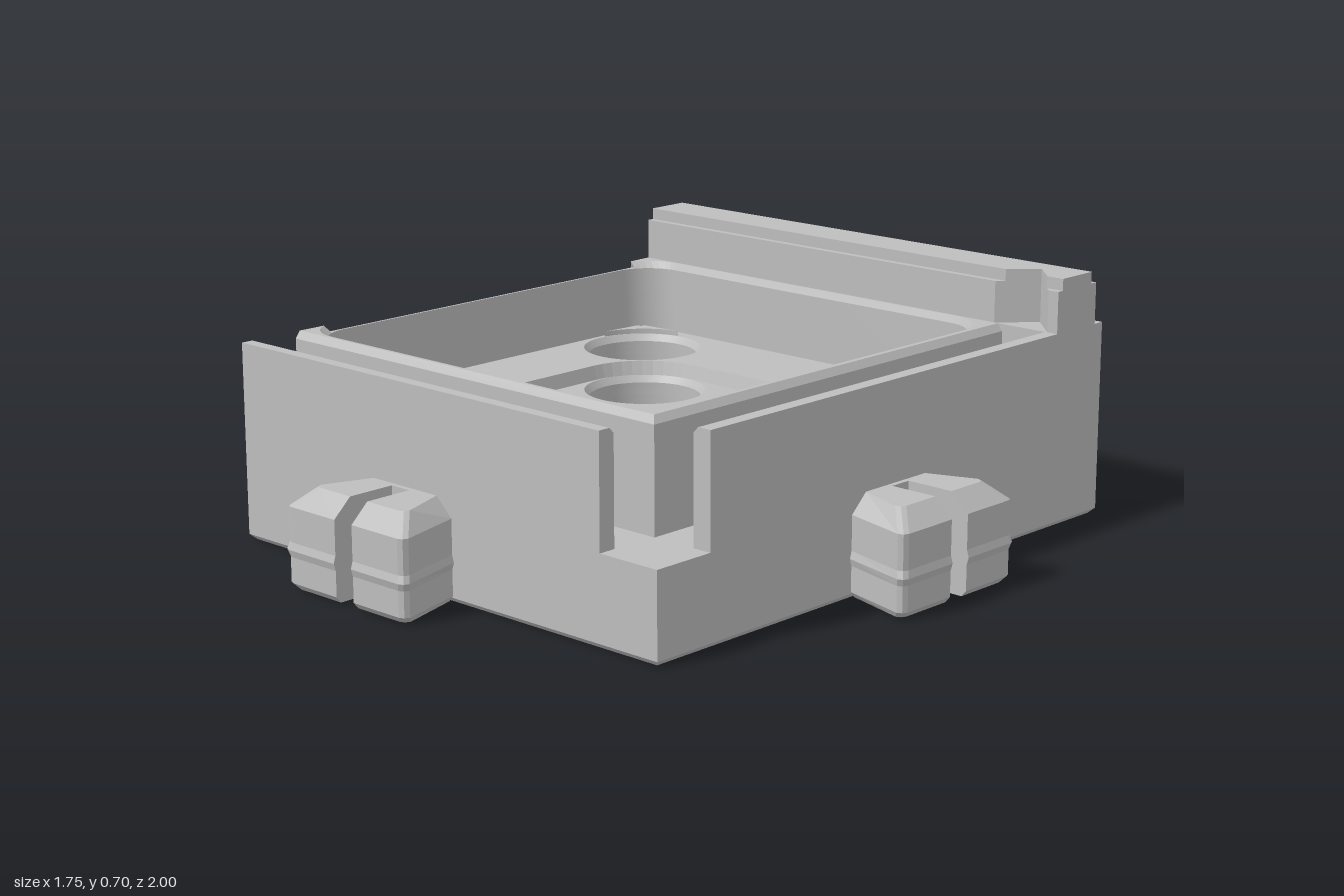
import * as THREE from 'three';
import { toCreasedNormals } from 'three/addons/utils/BufferGeometryUtils.js';

const grey = new THREE.MeshStandardMaterial({ color: 0xbebebe, side: THREE.DoubleSide });
grey.name = 'grey plastic';

const L = -0.875, R = 0.66, B = -1, F = 0.785; // body footprint
const TR = 0.475, TF = 0.6, TB = -0.79;        // tray block limits
const SOCKET_Z = -0.105;

function part(name, geometry) {
  const mesh = new THREE.Mesh(geometry, grey);
  mesh.name = name;
  return mesh;
}

// Horizontal slab: outline and holes are lists of [x, z]
function slab(name, outline, y0, y1, holes = []) {
  const toVec = (p) => new THREE.Vector2(p[0], -p[1]);
  const shape = new THREE.Shape(outline.map(toVec));
  holes.forEach((h) => shape.holes.push(new THREE.Path(h.map(toVec))));
  const g = new THREE.ExtrudeGeometry(shape, { depth: y1 - y0, bevelEnabled: false });
  g.rotateX(-Math.PI / 2).translate(0, y0, 0);
  return part(name, toCreasedNormals(g, 0.5));
}

// Skin between stacked rings { y, pts: [x, z][] }, optionally closed and capped
function loft(name, rings, solid = false) {
  const pos = [], index = [], n = rings[0].pts.length;
  rings.forEach((r) => r.pts.forEach((p) => pos.push(p[0], r.y, p[1])));
  for (let k = 0; k < rings.length - 1; k++) {
    for (let i = 0; i < (solid ? n : n - 1); i++) {
      const a = k * n + i, b = k * n + (i + 1) % n;
      index.push(a, a + n, b, b, a + n, b + n);
    }
  }
  if (solid) {
    [0, rings.length - 1].forEach((k) => {
      const flat = rings[k].pts.map((p) => new THREE.Vector2(p[0], p[1]));
      THREE.ShapeUtils.triangulateShape(flat, []).forEach(([a, b, c]) => {
        if (k) index.push(k * n + a, k * n + c, k * n + b);
        else index.push(a, b, c);
      });
    });
  }
  const g = new THREE.BufferGeometry();
  g.setAttribute('position', new THREE.Float32BufferAttribute(pos, 3));
  g.setIndex(index);
  const flatGeo = g.toNonIndexed();
  flatGeo.computeVertexNormals();
  return part(name, flatGeo);
}

const rect = (x0, x1, z0, z1) => [[x0, z0], [x1, z0], [x1, z1], [x0, z1]];
const loop = (p) => [...p, p[0]];

function circle([cx, cz], r, n = 48) {
  return Array.from({ length: n }, (_, i) => {
    const a = (i / n) * Math.PI * 2;
    return [cx + r * Math.cos(a), cz + r * Math.sin(a)];
  });
}

// Runs from the middle of the left side, round the front, right and back
function roundRect(x0, x1, z0, z1, r) {
  const pts = [], n = 10;
  [[x0 + r, z1 - r], [x1 - r, z1 - r], [x1 - r, z0 + r], [x0 + r, z0 + r]].forEach(([cx, cz], q) => {
    for (let i = 0; i <= n; i++) {
      const a = Math.PI - (q + i / n) * Math.PI / 2;
      pts.push([cx + r * Math.cos(a), cz + r * Math.sin(a)]);
    }
  });
  return pts;
}

// Dovetail socket cut in the right-hand wall of the model
const socket = (x, i = 0) => [
  [x, SOCKET_Z + 0.195 - i], [-0.655 - i, SOCKET_Z + 0.24 - i],
  [-0.655 - i, SOCKET_Z - 0.24 + i], [x, SOCKET_Z - 0.195 + i],
];
const footprint = (i = 0) => [
  [L + i, B + i], [R - i, B + i], [R - i, F - i], [L + i, F - i], ...socket(L + i),
];

// Slotted dovetail plug pointing along +z
function connector(name) {
  const outline = (i) => {
    const s0 = 0.18 - i, s1 = 0.23 - i, w = 0.215 - i, c = 0.02, g = 0.033;
    const half = [[g, 0.015], [g, w], [s1 - c, w], [s1 - c * 0.3, w - c * 0.3], [s1, w - c], [s0, 0]];
    return [...half, ...half.map(([u, v]) => [-u, v]).reverse()];
  };
  const steps = [[0.003, 0.02], [0.02, 0.006], [0.09, 0.006], [0.11, 0],
    [0.13, 0.006], [0.225, 0.006], [0.275, 0.06]];
  return loft(name, steps.map(([y, i]) => ({ y, pts: outline(i) })), true);
}

export function createModel() {
  const model = new THREE.Group();
  model.name = 'tray module';
  const corners = [], middles = [];
  for (const x of [-0.68, 0.215]) for (const z of [-0.56, 0.335]) corners.push([x, z]);
  for (const x of [-0.425, -0.035]) for (const z of [-0.305, 0.08]) middles.push([x, z]);
  const holes = (list, r) => list.map((c) => circle(c, r));
  const block = rect(L, TR, TB, TF);

  // Base with chamfered foot, then the pocket layers
  const well = roundRect(-0.615, 0.145, -0.49, 0.26, 0.2);
  const wellFoot = roundRect(-0.604, 0.134, -0.479, 0.249, 0.189);
  model.add(
    loft('base', [{ y: 0, pts: footprint(0.015) }, { y: 0.015, pts: footprint() },
      { y: 0.15, pts: footprint() }], true),
    slab('pocketLayer', footprint(), 0.15, 0.245, holes([...corners, ...middles], 0.16)),
    slab('trayUnderside', [[L, TB], [TR, TB], [TR, TF], [L, TF], ...socket(L)], 0.245, 0.28,
      holes([...corners, ...middles], 0.16)),
    slab('wellFloor', block, 0.28, 0.3, [...holes(corners, 0.16), ...holes(middles, 0.174)]),
    slab('trayFloorLower', block, 0.3, 0.32, [...holes(corners, 0.16), well]),
    slab('trayFloor', block, 0.32, 0.34, [...holes(corners, 0.174), well]),
    loft('wellSlope', [{ y: 0.3, pts: loop(wellFoot) }, { y: 0.34, pts: loop(well) }]),
  );

  // Tray wall with chamfered rim; the rim runs out on the thin left edge
  const inner = roundRect(-0.868, 0.425, -0.775, 0.555, 0.12);
  const wide = roundRect(-0.888, 0.445, -0.785, 0.575, 0.135);
  const inside = (_, i) => wide[i][0] >= L;
  const rim = wide.filter(inside);
  model.add(
    slab('trayWall', block, 0.34, 0.53, [inner]),
    slab('trayRim', [[L, TB], [TR - 0.015, TB], [TR - 0.015, TF - 0.015], [L, TF - 0.015], ...rim],
      0.53, 0.55),
    loft('rimInnerChamfer', [{ y: 0.53, pts: inner.filter(inside) }, { y: 0.55, pts: rim }]),
    loft('rimOuterChamfer', [
      { y: 0.53, pts: [[L, TF], [TR, TF], [TR, TB]] },
      { y: 0.55, pts: [[L, TF - 0.015], [TR - 0.015, TF - 0.015], [TR - 0.015, TB]] },
    ]),
  );

  // Sloped ceiling edges of the socket, closed at the mouth
  const low = socket(L), high = socket(L, 0.05);
  model.add(loft('socketChamfer', [
    { y: 0.22, pts: [low[0], ...low, low[3]] },
    { y: 0.28, pts: [low[0], ...high, low[3]] },
  ]));

  // Countersinks around the round pockets
  const countersink = (name, [x, z], y) => {
    const m = part(name, new THREE.CylinderGeometry(0.174, 0.16, 0.02, 48, 1, true));
    m.position.set(x, y - 0.01, z);
    model.add(m);
  };
  corners.forEach((c) => countersink('cornerCountersink', c, 0.34));
  middles.forEach((c) => countersink('middleCountersink', c, 0.3));

  // Low corner ledges hugging the outer pockets
  corners.forEach(([x, z]) => {
    const sx = x < 0 ? -1 : 1, sz = z < 0 ? -1 : 1;
    const pts = [[0.02, 0.176], [0.15, 0.165], [0.15, 0.15], [0.165, 0.15], [0.176, 0.02]];
    for (let d = 15; d <= 75; d += 10) {
      const a = d * Math.PI / 180;
      pts.push([0.176 * Math.cos(a), 0.176 * Math.sin(a)]);
    }
    model.add(slab('cornerLedge', pts.map(([u, v]) => [x + sx * u, z + sz * v]), 0.34, 0.355));
  });

  // Thin outer walls of the two channels; profile is [across, y]
  const wall = (a, b, depth) => new THREE.ExtrudeGeometry(
    new THREE.Shape([[a, 0.245], [b, 0.245], [b, 0.55], [a + 0.015, 0.55], [a, 0.535]]
      .map((p) => new THREE.Vector2(...p))), { depth, bevelEnabled: false });
  model.add(
    part('sideWall', wall(0.605, R, TF - TB).translate(0, 0, TB)),
    part('frontWall', wall(0.735, F, 0.47 - L).rotateY(-Math.PI / 2).translate(0.47, 0, 0)),
  );

  // Back block and stepped ridge with a 45 degree pointed notch
  const notched = (front, back) => {
    const x = 0.537, tip = -0.88, half = front - tip;
    return [[L, back], [R, back], [R, front], [x + half, front], [x, tip], [x - half, front], [L, front]];
  };
  model.add(
    slab('backBlock', rect(L, R, B, TB), 0.245, 0.55),
    slab('ridge', notched(TB, -0.965), 0.55, 0.667),
    slab('ridgeCap', notched(-0.81, -0.942), 0.667, 0.7),
  );

  // Plugs on the front and on the left side
  const front = connector('frontConnector');
  front.position.set(-0.23, 0, F);
  const side = connector('sideConnector');
  side.rotation.y = Math.PI / 2;
  side.position.set(R, 0, SOCKET_Z);
  model.add(front, side);
  return model;
}
